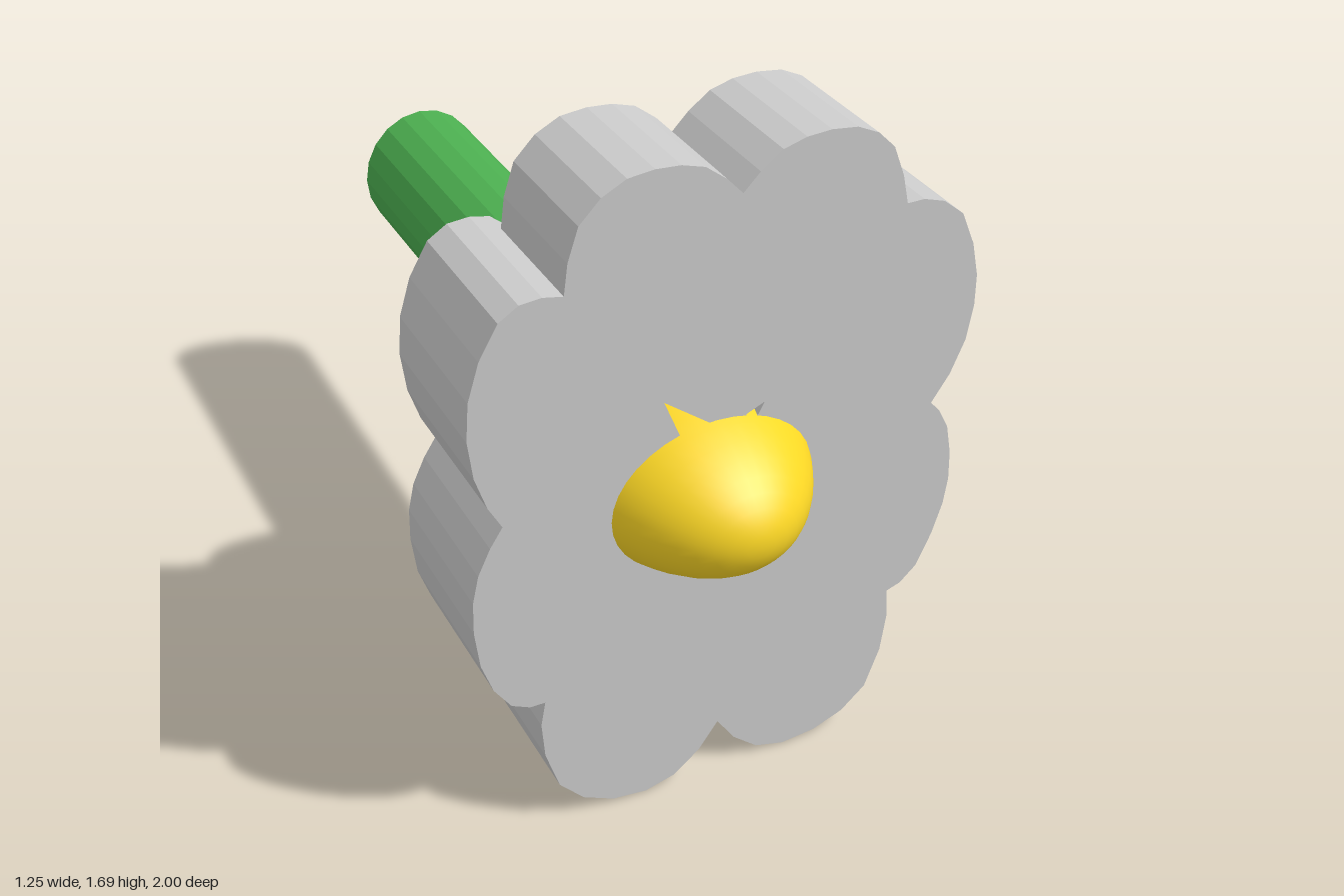
import * as THREE from 'three';

const grey = new THREE.MeshStandardMaterial({ color: 0xcccccc });
const green = new THREE.MeshStandardMaterial({ color: 0x4caf50 });
const yellow = new THREE.MeshStandardMaterial({ color: 0xfdd825 });

const vectors = (pairs) => pairs.map(([x, y]) => new THREE.Vector2(x, y));

// Smooth arc through a few points; the last one is left for the next arc
const arc = (pairs, segments = 9) =>
  new THREE.SplineCurve(vectors(pairs)).getPoints(segments).slice(0, -1);

// Petal edges, clockwise from the notch at the top
const topRight = [[0, 1.59], [0.08, 1.665], [0.18, 1.69], [0.29, 1.675], [0.37, 1.605], [0.41, 1.47]];
const upperRight = [[0.41, 1.47], [0.48, 1.465], [0.56, 1.41], [0.61, 1.28], [0.62, 1.16], [0.595, 1.03], [0.53, 0.92]];
const lowerRight = [[0.53, 0.92], [0.58, 0.85], [0.605, 0.71], [0.59, 0.58], [0.53, 0.43], [0.46, 0.39]];
const bottomRight = [[0.46, 0.39], [0.465, 0.26], [0.42, 0.1], [0.32, 0.025], [0.19, 0.003], [0.08, 0.045], [0, 0.15]];
const bottomLeft = [[0, 0.15], [-0.08, 0.045], [-0.19, 0.003], [-0.32, 0.03], [-0.42, 0.12], [-0.465, 0.28], [-0.455, 0.39]];
const lowerLeft = [[-0.455, 0.39], [-0.53, 0.405], [-0.6, 0.52], [-0.625, 0.69], [-0.605, 0.82], [-0.55, 0.92]];
const upperLeft = [[-0.55, 0.92], [-0.6, 1.02], [-0.625, 1.16], [-0.61, 1.3], [-0.55, 1.425], [-0.48, 1.46], [-0.405, 1.45]];
const topLeft = [[-0.405, 1.45], [-0.38, 1.59], [-0.29, 1.675], [-0.18, 1.69], [-0.08, 1.665], [0, 1.59]];

function slab(name, points, back, front, holes = []) {
  const shape = new THREE.Shape(points);
  shape.holes = holes.map((h) => new THREE.Path(vectors(h)));
  const geometry = new THREE.ExtrudeGeometry(shape, { depth: front - back, bevelEnabled: false });
  geometry.translate(0, 0, back);
  const mesh = new THREE.Mesh(geometry, grey);
  mesh.name = name;
  return mesh;
}

export function createModel() {
  const group = new THREE.Group();
  group.name = 'flower';

  // Eight joined petals, with small gaps where they meet above the centre
  const outline = [topRight, upperRight, lowerRight, bottomRight, bottomLeft, lowerLeft, upperLeft, topLeft]
    .flatMap((edge) => arc(edge));
  const gaps = [
    [[-0.17, 1.125], [-0.05, 1.035], [-0.1, 0.98], [-0.13, 1.03]],
    [[0.08, 1.055], [0.035, 1.035], [0.04, 1], [0.065, 1.025]],
  ];
  group.add(slab('petals', outline, 0.47, 0.78, gaps));

  // The right-hand pair of petals is deeper and tapers in to the stem
  const innerEdge = [[-0.405, 1.45], [-0.25, 1.31], [-0.1, 0.98], [-0.08, 0.9], [-0.13, 0.82], [-0.25, 0.56], [-0.37, 0.42], [-0.455, 0.39]];
  const pair = [lowerLeft, upperLeft, innerEdge].flatMap((edge) => arc(edge));
  group.add(slab('deepPetals', pair, 0.41, 0.47));

  // Domed centre with a flat back that shows through behind the petals
  const centre = new THREE.Group();
  centre.name = 'centre';
  const dome = new THREE.Mesh(
    new THREE.SphereGeometry(1, 36, 14, 0, Math.PI * 2, 0, Math.PI / 2).rotateX(Math.PI / 2), yellow);
  dome.name = 'dome';
  const domeBack = new THREE.Mesh(new THREE.CircleGeometry(1, 36).rotateY(Math.PI), yellow);
  domeBack.name = 'domeBack';
  centre.add(dome, domeBack);
  centre.scale.set(0.312, 0.243, 0.533);
  centre.position.set(-0.04, 0.845, 0.467);
  group.add(centre);

  // Straight stem running backwards
  const stem = new THREE.Mesh(
    new THREE.CylinderGeometry(1, 1, 1.5, 20).rotateX(Math.PI / 2).toNonIndexed(), green);
  stem.geometry.computeVertexNormals();
  stem.name = 'stem';
  stem.scale.set(0.17, 0.185, 1);
  stem.position.set(-0.018, 0.815, -0.25);
  group.add(stem);

  return group;
}
